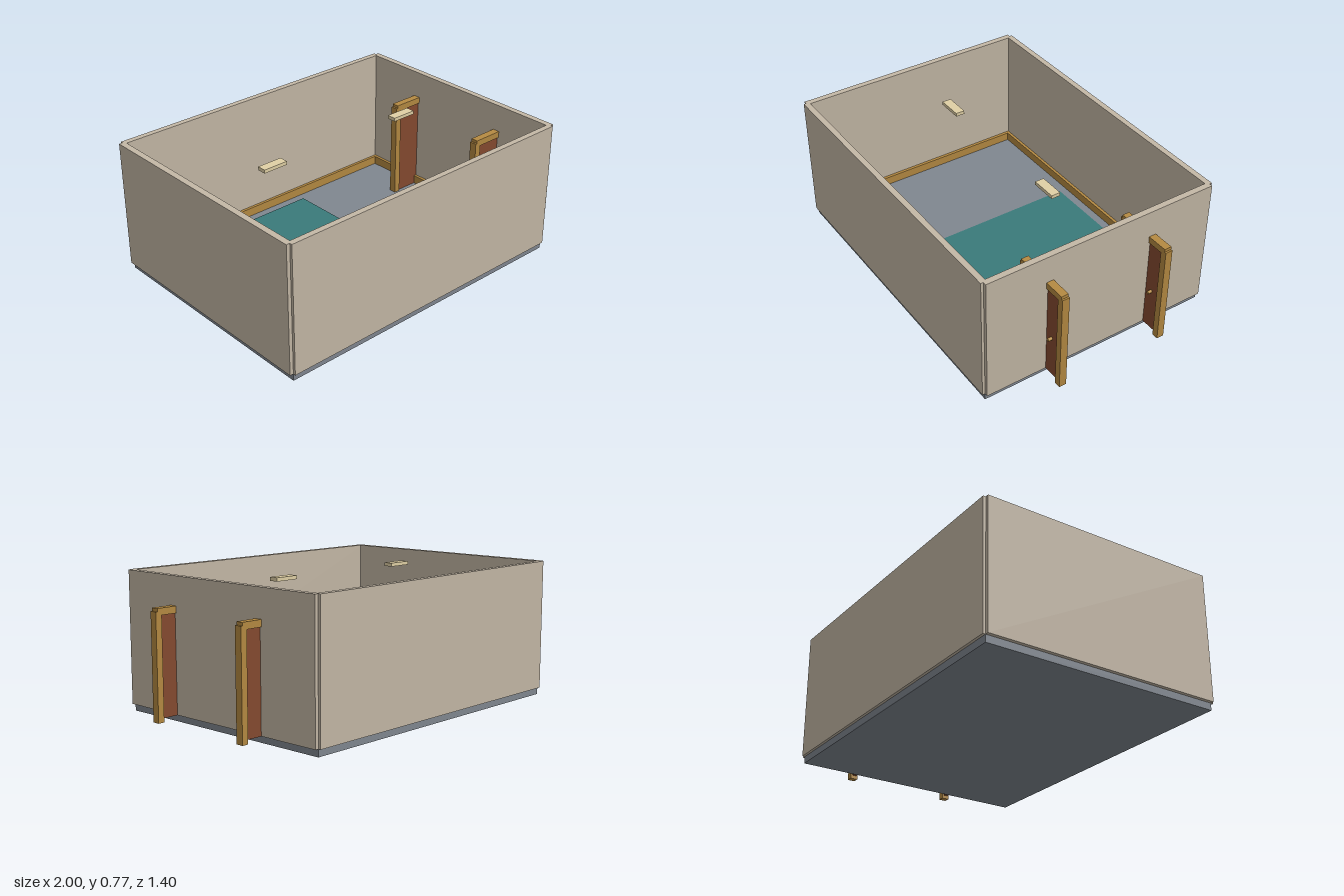
import * as THREE from 'three';

const material = (color) => new THREE.MeshStandardMaterial({ color });

// Box given by its extents along each axis
function box(parent, name, mat, [x0, x1], [y0, y1], [z0, z1]) {
  const mesh = new THREE.Mesh(new THREE.BoxGeometry(x1 - x0, y1 - y0, z1 - z0), mat);
  mesh.position.set((x0 + x1) / 2, (y0 + y1) / 2, (z0 + z1) / 2);
  mesh.name = name;
  parent.add(mesh);
  return mesh;
}

export function createModel() {
  const model = new THREE.Group();
  model.name = 'room';
  const wall = material(0xc4b8a6);
  const wood = material(0xb58a42);
  const doorWood = material(0x854a30);
  const slab = material(0x808790);
  const rug = material(0x3a7a7a);
  const lamp = material(0xe0d0a5);
  const brass = material(0xb58a42);

  // Floor slab and rug
  box(model, 'floor', slab, [-0.98, 0.845], [0, 0.04], [-0.685, 0.685]);
  box(model, 'rug', rug, [-0.305, 0.17], [0.04, 0.045], [-0.6, 0.6]);

  // Walls, overlapping at the corners with a small step
  const wallY = [0.04, 0.77];
  box(model, 'frontWall', wall, [-0.98, 0.845], wallY, [0.667, 0.7]);
  box(model, 'backWall', wall, [-0.98, 0.845], wallY, [-0.7, -0.667]);
  box(model, 'leftWall', wall, [0.83, 0.865], wallY, [-0.685, 0.685]);
  box(model, 'rightWall', wall, [-1, -0.965], wallY, [-0.685, 0.685]);

  // Skirting boards on three sides
  const trimY = [0.04, 0.09];
  box(model, 'backSkirting', wood, [-0.965, 0.83], trimY, [-0.667, -0.65]);
  box(model, 'leftSkirting', wood, [0.813, 0.83], trimY, [-0.65, 0.667]);
  box(model, 'rightSkirting', wood, [-0.965, -0.947], trimY, [-0.65, 0.667]);

  // Two doors standing across the left wall
  for (const z of [0.32, -0.31]) {
    const door = new THREE.Group();
    door.name = 'door';
    door.position.z = z;
    const depth = [-0.021, 0.021];
    box(door, 'outerJamb', wood, [0.96, 0.997], [0.02, 0.598], depth);
    box(door, 'innerJamb', wood, [0.64, 0.677], [0.02, 0.598], depth);
    box(door, 'lintel', wood, [0.65, 0.987], [0.578, 0.615], depth);
    box(door, 'doorPanel', doorWood, [0.677, 0.96], [0.04, 0.578], [-0.012, 0.012]);
    const knob = new THREE.Mesh(new THREE.CylinderGeometry(0.009, 0.009, 0.026, 16), brass);
    knob.name = 'knob';
    knob.rotation.x = Math.PI / 2;
    knob.position.set(0.908, 0.28, 0.023);
    door.add(knob);
    model.add(door);
  }

  // Ceiling lamps
  for (const x of [-0.525, 0.388]) {
    box(model, 'ceilingLamp', lamp, [x - 0.073, x + 0.073], [0.73, 0.75], [-0.026, 0.026]);
  }
  return model;
}
